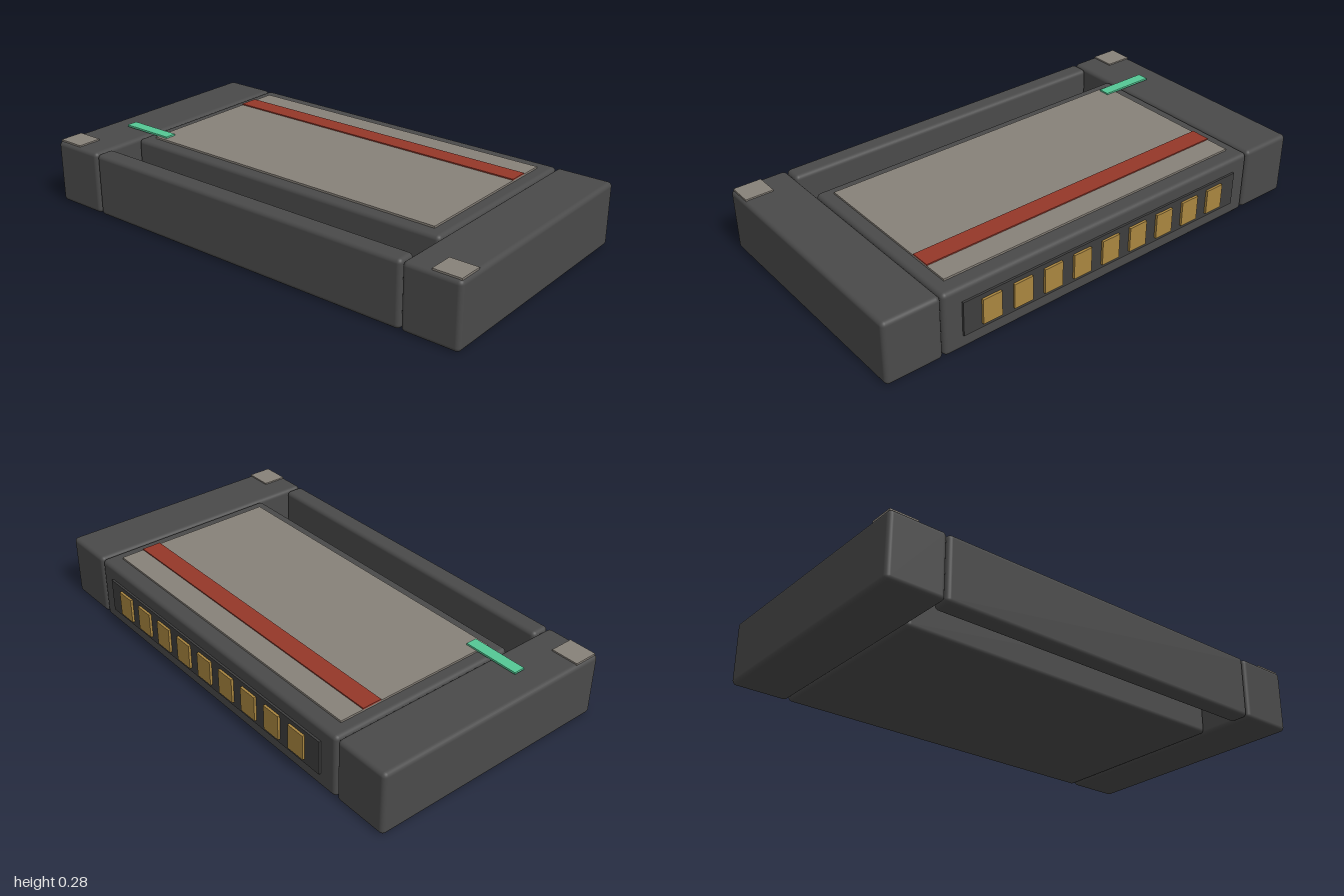
import * as THREE from 'three';
import { RoundedBoxGeometry } from 'three/addons/geometries/RoundedBoxGeometry.js';

const material = (name, color) => {
  const m = new THREE.MeshStandardMaterial({ color });
  m.name = name;
  return m;
};

export function createModel() {
  const group = new THREE.Group();
  const charcoal = material('charcoal plastic', 0x4a4a4a);
  const dark = material('dark recess', 0x3d3d3d);
  const grey = material('warm grey', 0x878179);
  const red = material('brick red', 0x953729);
  const green = material('mint green', 0x55c795);
  const gold = material('brass', 0xa98640);

  // Each part is given by its extents along x, y and z
  const add = (name, mat, [x0, x1], [y0, y1], [z0, z1], radius = 0) => {
    const size = [x1 - x0, y1 - y0, z1 - z0];
    const geometry = radius
      ? new RoundedBoxGeometry(...size, 3, radius)
      : new THREE.BoxGeometry(...size);
    const mesh = new THREE.Mesh(geometry, mat);
    mesh.name = name;
    mesh.position.set((x0 + x1) / 2, (y0 + y1) / 2, (z0 + z1) / 2);
    group.add(mesh);
  };

  // Housing: centre block, front bar and two side blocks around an open slot
  const height = [0, 0.267];
  const r = 0.018;
  add('centreBlock', charcoal, [-0.759, 0.759], height, [-0.522, 0.31], r);
  add('frontBar', charcoal, [-0.759, 0.759], height, [0.458, 0.54], r);
  add('rightSideBlock', charcoal, [-1, -0.763], height, [-0.522, 0.54], r);
  add('leftSideBlock', charcoal, [0.763, 1], height, [-0.522, 0.54], r);

  // Top label with its stripe
  add('labelPanel', grey, [-0.705, 0.705], [0.266, 0.275], [-0.455, 0.261]);
  add('labelStripe', red, [-0.705, 0.705], [0.274, 0.28], [-0.355, -0.272]);

  // Indicator strip bridging the label and the side block
  add('indicatorStrip', green, [-0.895, -0.655], [0.274, 0.282], [0.2, 0.248]);

  // Corner pads
  add('rightCornerPad', grey, [-0.992, -0.875], [0.265, 0.273], [0.425, 0.528]);
  add('leftCornerPad', grey, [0.875, 0.992], [0.265, 0.273], [0.425, 0.528]);

  // Rear connector with nine contacts
  add('connectorPlate', dark, [-0.68, 0.68], [0.061, 0.206], [-0.531, -0.515]);
  for (let i = 0; i < 9; i++) {
    const x = (i - 4) * 0.14;
    add(`contact${i + 1}`, gold, [x - 0.042, x + 0.042], [0.081, 0.187], [-0.541, -0.53]);
  }
  return group;
}
